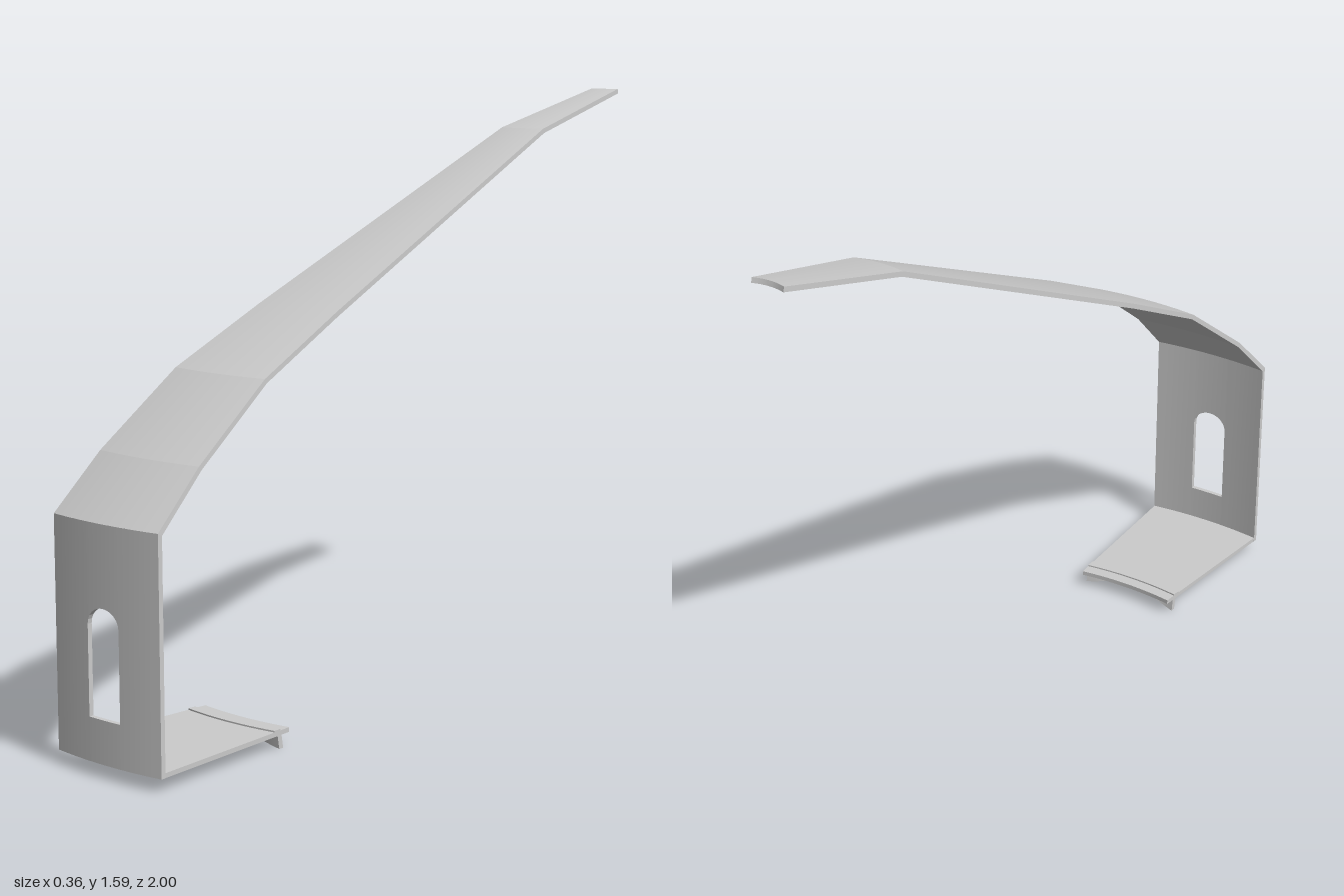
import * as THREE from 'three';
import { toCreasedNormals } from 'three/addons/utils/BufferGeometryUtils.js';

const THICK = 0.013;
const material = new THREE.MeshStandardMaterial({ color: 0xcccccc });

// Half width of the tapering band at depth z, and the shallow bow across it
const halfWidth = (z) => 0.1115 + 0.0665 * z;
const bow = (z) => 0.0105 + 0.0025 * z;
const bowed = (x, z) => z - bow(z) * (x / halfWidth(z)) ** 2;

// Slab made by moving a box's vertices: s in -1..1 across, v in 0..1 along, w in 0..1 outward
function slab(name, nu, nv, place) {
  const geo = new THREE.BoxGeometry(2, 1, 1, nu, nv, 1);
  const pos = geo.attributes.position;
  for (let i = 0; i < pos.count; i++) {
    const p = place(pos.getX(i), pos.getY(i) + 0.5, pos.getZ(i) + 0.5);
    pos.setXYZ(i, p[0], p[1], p[2]);
  }
  const mesh = new THREE.Mesh(toCreasedNormals(geo, 0.08), material);
  mesh.name = name;
  return mesh;
}

export function createModel() {
  const model = new THREE.Group();
  model.name = 'bentBracket';

  // Long tapering arm: centre-line stations of the outer face as [z, y]
  const line = [[1, 0.62], [0.855, 0.755], [0.612, 0.932], [0.33, 1.067], [-0.6, 1.485], [-0.992, 1.585]]
    .map(([z, y]) => new THREE.Vector2(z, y));
  const last = line.length - 1;
  const inward = line.map((p, i) => {
    if (i === 0) return new THREE.Vector2(-THICK, -0.007); // mitre with the wall
    const a = p.clone().sub(line[i - 1]).normalize();
    const b = i < last ? line[i + 1].clone().sub(p).normalize() : a;
    const t = a.add(b).normalize();
    return new THREE.Vector2(-t.y, t.x).multiplyScalar(-THICK * Math.sign(-t.x));
  });
  // the inward side is below and in front-to-back order away from the outer face
  for (let i = 1; i <= last; i++) if (inward[i].y > 0) inward[i].negate();
  model.add(slab('arm', 12, last, (s, v, w) => {
    const i = Math.round(v * last);
    const x = s * halfWidth(line[i].x);
    return [x, line[i].y + inward[i].y * (1 - w), bowed(x, line[i].x) + inward[i].x * (1 - w)];
  }));

  // Front wall in four panels around an arched window
  const W = 0.178, HOLE = 0.053, BASE = 0.035, TOP = 0.62;
  const wall = new THREE.Group();
  wall.name = 'frontWall';
  const panel = (name, nu, xOf, low, high) => wall.add(slab(name, nu, 1, (s, v, w) => {
    const x = xOf(s);
    const top = high(s) - (high(s) === TOP ? 0.007 * (1 - w) : 0);
    return [x, THREE.MathUtils.lerp(low(s), top, v), bowed(x, 1) - THICK * (1 - w)];
  }));
  for (const side of [-1, 1]) {
    panel(side > 0 ? 'leftPost' : 'rightPost', 5,
      (s) => side * (HOLE + W) / 2 + s * (W - HOLE) / 2, () => BASE, () => TOP);
  }
  const round = (s) => HOLE * Math.sin(s * Math.PI / 2);
  panel('sill', 12, round, () => BASE, () => 0.145);
  panel('windowHead', 12, round, (s) => 0.372 + 0.045 * Math.cos(s * Math.PI / 2), () => TOP);
  model.add(wall);

  // Floor plate, running back from the foot of the wall
  const strip = (name, z0, z1, y0, y1) => slab(name, 12, 1, (s, v, w) => {
    const z = THREE.MathUtils.lerp(z0, z1, v);
    const x = s * halfWidth(z);
    return [x, y0 + (y1 - y0) * w, bowed(x, z)];
  });
  model.add(strip('floor', 1 - THICK / 2, 0.528, BASE, 0.047));

  // Low ridge across the floor and the arched lip hanging below it
  model.add(strip('ridge', 0.585, 0.562, 0.046, 0.051));
  model.add(slab('lip', 20, 1, (s, v, w) => {
    const x = s * 0.148;
    const low = 0.033 * (0.5 * (1 - s * s) + 0.25 * (1 + Math.cos(Math.PI * s)));
    return [x, THREE.MathUtils.lerp(low, 0.037, v), bowed(x, 0.555) + 0.014 * w + 0.006 * v - 0.003];
  }));

  return model;
}
